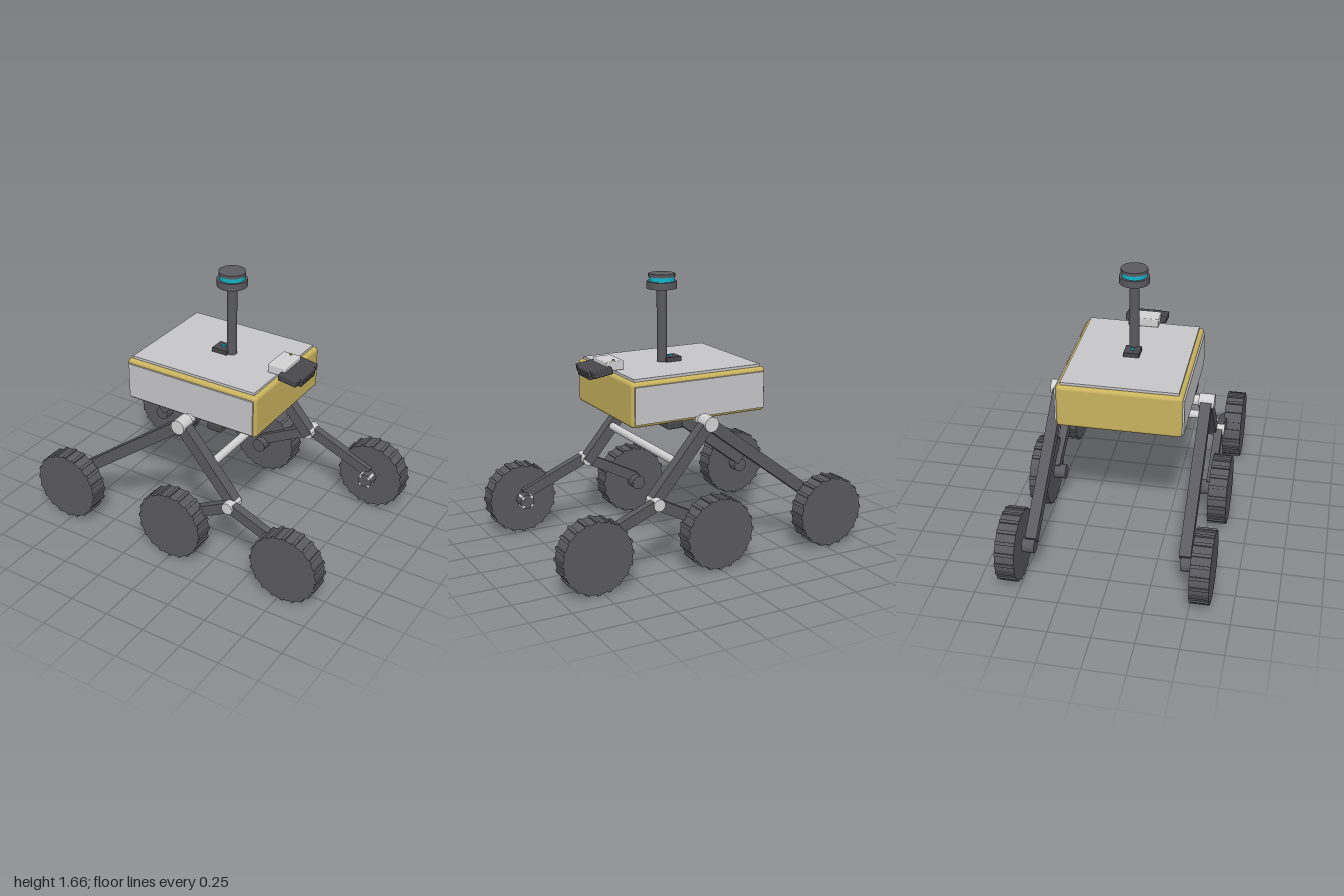
import * as THREE from 'three';
import { RoundedBoxGeometry } from 'three/addons/geometries/RoundedBoxGeometry.js';

const mat = (name, color) => {
  const m = new THREE.MeshStandardMaterial({ color });
  m.name = name;
  return m;
};

export function createModel() {
  const dark = mat('darkMetal', 0x5a595f);
  const black = mat('blackPlastic', 0x47474c);
  const grey = mat('panelGrey', 0xc6c6c9);
  const light = mat('lightMetal', 0xd2d2d2);
  const yellow = mat('yellowShell', 0xc9b35e);
  const cyan = mat('cyanGlass', 0x14b4ca);

  const rover = new THREE.Group();
  rover.name = 'rover';

  const add = (parent, name, geo, m, x, y, z) => {
    const mesh = new THREE.Mesh(geo, m);
    mesh.name = name;
    mesh.position.set(x, y, z);
    parent.add(mesh);
    return mesh;
  };
  const box = (p, name, m, w, h, d, x, y, z) => add(p, name, new THREE.BoxGeometry(w, h, d), m, x, y, z);
  const rbox = (p, name, m, w, h, d, r, x, y, z) => add(p, name, new RoundedBoxGeometry(w, h, d, 3, r), m, x, y, z);
  // upright cylinder between two heights
  const post = (p, name, m, r, y0, y1, x, z) =>
    add(p, name, new THREE.CylinderGeometry(r, r, y1 - y0, 40), m, x, (y0 + y1) / 2, z);
  // cylinder along z between two depths
  const axle = (p, name, m, r, z0, z1, x, y) => {
    const c = add(p, name, new THREE.CylinderGeometry(r, r, Math.abs(z1 - z0), 32), m, x, y, (z0 + z1) / 2);
    c.rotation.x = Math.PI / 2;
    return c;
  };
  // flat bar joining two points in the xy plane
  const bar = (p, name, [x0, y0], [x1, y1], thick, z0, z1, side) => {
    const len = Math.hypot(x1 - x0, y1 - y0);
    const b = box(p, name, dark, len, thick, z1 - z0, (x0 + x1) / 2, (y0 + y1) / 2, side * (z0 + z1) / 2);
    b.rotation.z = Math.atan2(y1 - y0, x1 - x0);
  };

  // Body shell with lid and side panels
  rbox(rover, 'bodyShell', yellow, 0.89, 0.265, 0.74, 0.022, 0, 0.982, 0);
  box(rover, 'lid', grey, 0.835, 0.02, 0.69, 0, 1.12, 0);
  for (const s of [-1, 1]) box(rover, 'sidePanel', grey, 0.855, 0.22, 0.014, 0, 0.98, s * 0.373);
  rbox(rover, 'undersideBar', black, 0.095, 0.042, 0.75, 0.008, 0.168, 0.836, 0);

  // Mast with sensor head
  const mast = new THREE.Group();
  mast.name = 'mast';
  rover.add(mast);
  post(mast, 'mastPole', dark, 0.03, 1.12, 1.58, 0.057, 0);
  post(mast, 'sensorBase', dark, 0.09, 1.572, 1.615, 0.057, 0);
  post(mast, 'sensorWindow', cyan, 0.076, 1.615, 1.642, 0.057, 0);
  post(mast, 'sensorCap', dark, 0.08, 1.642, 1.661, 0.057, 0);
  box(mast, 'switchBox', black, 0.1, 0.028, 0.095, -0.002, 1.143, 0);
  post(mast, 'statusLamp', cyan, 0.011, 1.155, 1.166, -0.002, 0);

  // Front camera on its mount
  const camera = new THREE.Group();
  camera.name = 'frontCamera';
  rover.add(camera);
  rbox(camera, 'cameraMount', light, 0.115, 0.055, 0.188, 0.006, 0.414, 1.157, 0);
  box(camera, 'mountLip', light, 0.03, 0.05, 0.09, 0.458, 1.12, 0);
  post(camera, 'mountLamp', yellow, 0.007, 1.182, 1.193, 0.415, -0.074);
  const head = new THREE.Group();
  head.name = 'cameraHead';
  head.position.set(0.505, 1.132, 0);
  head.rotation.z = -0.15;
  camera.add(head);
  rbox(head, 'cameraHousing', black, 0.12, 0.042, 0.26, 0.006, 0, 0, 0);
  rbox(head, 'cameraFace', black, 0.055, 0.055, 0.165, 0.006, 0.045, -0.007, 0);
  for (const z of [-0.05, 0, 0.05]) {
    const lens = add(head, 'lens', new THREE.CylinderGeometry(0.014, 0.014, 0.006, 20), dark, 0.074, -0.007, z);
    lens.rotation.z = Math.PI / 2;
  }

  // Tube joining the two rocker arms
  axle(rover, 'crossTube', light, 0.025, -0.43, 0.43, 0.19, 0.632);

  // Rim with cross bars around the tread
  const wheel = (x, s) => {
    const g = new THREE.Group();
    g.name = 'wheel';
    g.position.set(x, 0.22, s * 0.5625);
    rover.add(g);
    const rim = add(g, 'rim', new THREE.CylinderGeometry(0.21, 0.21, 0.115, 64), dark, 0, 0, 0);
    rim.rotation.x = Math.PI / 2;
    const count = 20;
    for (let i = 0; i < count; i++) {
      const a = (i / count) * Math.PI * 2;
      const tread = box(g, 'tread', dark, 0.02, 0.013, 0.115, Math.cos(a) * 0.2125, Math.sin(a) * 0.2125, 0);
      tread.rotation.z = a + Math.PI / 2;
    }
  };

  // Suspension, mirrored on both sides
  const pivot = [0, 0.85];
  const knee = [0.357, 0.43];
  for (const s of [-1, 1]) {
    axle(rover, 'pivotShaft', light, 0.032, s * 0.36, s * 0.42, ...pivot);
    axle(rover, 'pivotHub', light, 0.045, s * 0.41, s * 0.505, ...pivot);
    bar(rover, 'rearRocker', pivot, [-0.78, 0.26], 0.07, 0.42, 0.488, s);
    bar(rover, 'frontRocker', pivot, [0.365, 0.42], 0.07, 0.42, 0.488, s);
    bar(rover, 'middleBogieArm', knee, [0, 0.245], 0.065, 0.474, 0.525, s);
    bar(rover, 'frontBogieArm', knee, [0.78, 0.255], 0.065, 0.474, 0.525, s);
    axle(rover, 'kneeHub', light, 0.036, s * 0.43, s * 0.538, ...knee);
    for (const x of [-0.78, 0, 0.78]) {
      wheel(x, s);
      axle(rover, 'wheelMotor', dark, 0.045, s * 0.432, s * 0.51, x, 0.22);
    }
    // light fixing pins around the front motors
    for (let i = 0; i < 4; i++) {
      const a = Math.PI / 4 + (i * Math.PI) / 2;
      axle(rover, 'motorPin', light, 0.01, s * 0.428, s * 0.485, 0.78 + Math.cos(a) * 0.042, 0.22 + Math.sin(a) * 0.042);
    }
  }
  return rover;
}
